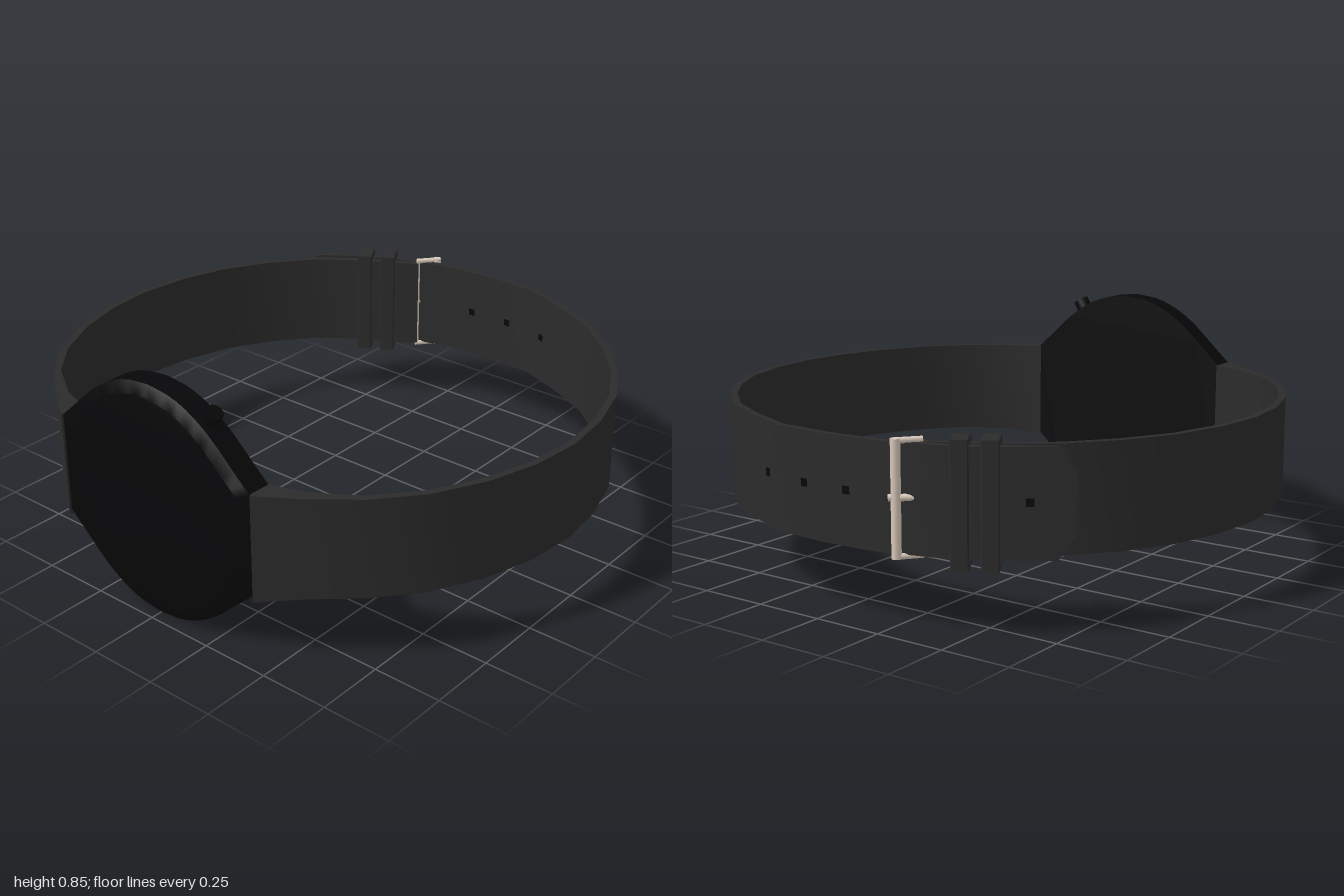
import * as THREE from 'three';
import { toCreasedNormals } from 'three/addons/utils/BufferGeometryUtils.js';

const MID = 0.4225;
const mat = (color, side = THREE.FrontSide) => new THREE.MeshStandardMaterial({ color, side });

function add(parent, name, geometry, material) {
  const mesh = new THREE.Mesh(geometry, material);
  mesh.name = name;
  parent.add(mesh);
  return mesh;
}

// Rectangular-section band along stations [x, z, halfThickness, halfHeight, middleY]
function bandGeometry(stations) {
  const rings = stations.map(([x, z, t = 0.0125, h = 0.177, y = 0.425], i) => {
    const a = stations[Math.max(i - 1, 0)], b = stations[Math.min(i + 1, stations.length - 1)];
    const len = Math.hypot(b[0] - a[0], b[1] - a[1]);
    const nx = -(b[1] - a[1]) / len * t, nz = (b[0] - a[0]) / len * t;
    return [[1, 1], [-1, 1], [-1, -1], [1, -1]].map(([v, s]) => [x + nx * s, y + h * v, z + nz * s]);
  });
  const pos = [], index = [];
  // each of the four sides is its own strip, so the long edges stay sharp
  for (let k = 0; k < 4; k++) {
    rings.forEach((ring, i) => {
      const o = pos.length / 3;
      pos.push(...ring[k], ...ring[(k + 1) % 4]);
      if (i < rings.length - 1) index.push(o, o + 1, o + 3, o, o + 3, o + 2);
    });
  }
  for (const cap of [[...rings[0]].reverse(), rings[rings.length - 1]]) {
    const o = pos.length / 3;
    pos.push(...cap.flat());
    index.push(o, o + 1, o + 2, o, o + 2, o + 3);
  }
  const g = new THREE.BufferGeometry();
  g.setAttribute('position', new THREE.Float32BufferAttribute(pos, 3));
  g.setIndex(index);
  g.computeVertexNormals();
  return g;
}

// Rod between two points
function rod(parent, name, a, b, r, material) {
  const p = new THREE.Vector3(...a), d = new THREE.Vector3(...b).sub(p);
  const mesh = add(parent, name, new THREE.CylinderGeometry(r, r, d.length(), 10), material);
  mesh.position.copy(p).addScaledVector(d, 0.5);
  mesh.quaternion.setFromUnitVectors(new THREE.Vector3(0, 1, 0), d.normalize());
  return mesh;
}

export function createModel() {
  const model = new THREE.Group();
  const black = mat(0x070709), leather = mat(0x2b2b2b), metal = mat(0xd8c9ba), red = mat(0x8a0618);

  // Case: round body drawn out to flat strap ends
  const watchCase = new THREE.Group();
  watchCase.name = 'watchCase';
  model.add(watchCase);
  const quarter = new THREE.SplineCurve([[0.42, 0.182], [0.345, 0.25], [0.27, 0.318], [0.19, 0.373],
    [0.1, 0.41], [0, 0.4225]].map(p => new THREE.Vector2(...p))).getPoints(12);
  const half = [...quarter, ...quarter.slice(0, -1).reverse().map(p => new THREE.Vector2(-p.x, p.y))];
  const outline = new THREE.Shape([...half, ...half.map(p => new THREE.Vector2(-p.x, -p.y))]);
  const slab = (depth, scale) => {
    const g = new THREE.ExtrudeGeometry(outline, { depth, bevelEnabled: false });
    const p = g.attributes.position;
    for (let i = 0; i < p.count; i++) {
      if (p.getZ(i) > depth / 2) p.setXY(i, p.getX(i) * scale, p.getY(i) * scale);
    }
    return toCreasedNormals(g, 0.5);
  };
  for (const [name, x, depth, scale] of [['caseBody', -0.87, 0.085, 1], ['bezelAndScreen', -0.955, 0.02, 0.91]]) {
    const m = add(watchCase, name, slab(depth, scale), black);
    m.position.set(x, MID, 0);
    m.rotation.y = -Math.PI / 2;
  }

  // Crown with a coloured ring at its foot
  const crown = new THREE.Group();
  crown.name = 'crown';
  crown.position.set(-0.908, MID, 0);
  crown.rotation.x = 0.56;
  watchCase.add(crown);
  add(crown, 'crownKnob', new THREE.CylinderGeometry(0.03, 0.03, 0.036, 16), black).position.y = 0.437;
  add(crown, 'crownRing', new THREE.CylinderGeometry(0.026, 0.026, 0.01, 16), red).position.y = 0.415;
  add(crown, 'crownStem', new THREE.CylinderGeometry(0.02, 0.02, 0.05, 12), black).position.y = 0.39;

  // Straps: both leave the case thick and taper to a thin band
  const lug = [[-0.92, 0.405, 0.045, 0.192, 0.413], [-0.85, 0.545, 0.022, 0.18, 0.422], [-0.74, 0.697],
    [-0.597, 0.82], [-0.42, 0.912], [-0.235, 0.967], [-0.045, 0.987], [0.145, 0.967],
    [0.335, 0.912], [0.5, 0.82]];
  const longStrap = [...lug, [0.65, 0.695], [0.78, 0.545], [0.87, 0.375], [0.945, 0.19], [0.957, 0],
    [0.947, -0.19], [0.91, -0.33], [0.872, -0.45], [0.79, -0.59], [0.7, -0.72], [0.67, -0.765, 0.0125, 0.1]];
  const shortStrap = [...lug.map(([x, z, ...rest]) => [x, -z, ...rest]),
    [0.65, -0.7], [0.745, -0.575], [0.83, -0.42], [0.885, -0.335]];
  add(model, 'longStrap', bandGeometry(longStrap), leather);
  add(model, 'shortStrap', bandGeometry(shortStrap), leather);

  // Strap holes: dark plugs barely proud of the surface
  for (const [x, z, turn] of [[0.917, 0.262, 0.39], [0.953, 0.073, 0.08], [0.952, -0.1, -0.06], [0.749, -0.65, -0.6]]) {
    const hole = add(model, 'strapHole', new THREE.BoxGeometry(0.029, 0.026, 0.026), black);
    hole.position.set(x, 0.43, z);
    hole.rotation.y = -turn;
    if (turn < -0.3) hole.rotation.y = 0.6;
  }

  // Keeper loops around both strap layers
  const rect = (C, w, h) => new C([[-w, -h], [w, -h], [w, h], [-w, h]].map(p => new THREE.Vector2(...p)));
  const loopShape = rect(THREE.Shape, 0.046, 0.203);
  loopShape.holes.push(rect(THREE.Path, 0.034, 0.189));
  const loopGeometry = new THREE.ExtrudeGeometry(loopShape, {
    depth: 0.05, bevelEnabled: true, bevelSize: 0.004, bevelThickness: 0.004, bevelSegments: 1 });
  loopGeometry.translate(0, 0, -0.025);
  for (const [x, z] of [[0.797, -0.54], [0.845, -0.458]]) {
    const loop = add(model, 'keeperLoop', loopGeometry, leather);
    loop.position.set(x, 0.418, z);
    loop.rotation.y = 0.54;
  }

  // Buckle: outer bar, two arms, hinge pin and prong
  const buckle = new THREE.Group();
  buckle.name = 'buckle';
  model.add(buckle);
  rod(buckle, 'buckleBar', [0.948, 0.236, -0.288], [0.948, 0.616, -0.288], 0.016, metal);
  for (const y of [0.243, 0.609]) rod(buckle, 'buckleArm', [0.952, y, -0.285], [0.882, y, -0.342], 0.01, metal);
  rod(buckle, 'hingePin', [0.886, 0.243, -0.338], [0.886, 0.609, -0.338], 0.008, metal);
  rod(buckle, 'prong', [0.9, 0.43, -0.345], [0.962, 0.43, -0.268], 0.012, metal);
  return model;
}
